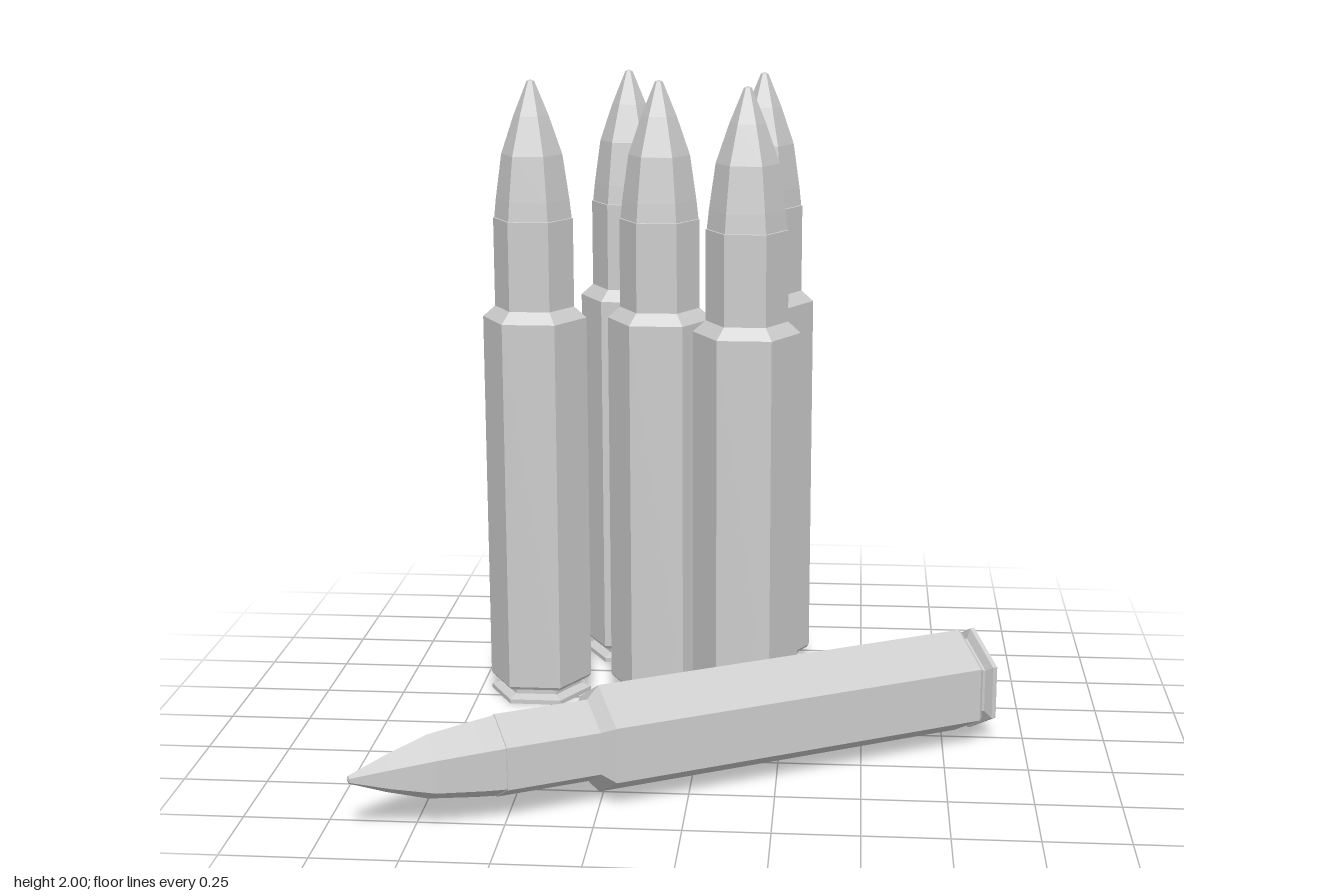
import * as THREE from 'three';

const material = new THREE.MeshStandardMaterial({ color: 0xcccccc, flatShading: true });

// Six-sided turned part from [radius, height] pairs, with corners on the x axis
function hexLathe(name, profile) {
  const points = profile.map(([r, y]) => new THREE.Vector2(r, y));
  const mesh = new THREE.Mesh(new THREE.LatheGeometry(points, 6, Math.PI / 6), material);
  mesh.name = name;
  return mesh;
}

// One cartridge: case with rim, groove, shoulder and neck, plus pointed bullet
function makeCartridge(name) {
  const cartridge = new THREE.Group();
  cartridge.name = name;
  cartridge.add(
    hexLathe('case', [
      [0, 0.005], [0.164, 0.005], [0.164, 0.019], [0.132, 0.03], [0.132, 0.047],
      [0.157, 0.052], [0.165, 0.062], [0.165, 1.255], [0.126, 1.29], [0.126, 1.57], [0.12, 1.572],
    ]),
    hexLathe('bullet', [
      [0.123, 1.565], [0.116, 1.63], [0.096, 1.77], [0.055, 1.89], [0.012, 1.995], [0, 2],
    ]),
  );
  return cartridge;
}

export function createModel() {
  const model = new THREE.Group();
  model.name = 'cartridges';

  // Standing cartridges, [x, z]
  const spots = [[-0.29, -0.727], [0.156, -0.655], [-0.552, -0.318], [-0.155, -0.326], [0.13, -0.12]];
  spots.forEach(([x, z], i) => {
    const standing = makeCartridge(`standingCartridge${i + 1}`);
    standing.position.set(x, 0, z);
    model.add(standing);
  });

  // Lying cartridge, one corner of the hexagon pointing up
  const base = new THREE.Vector3(0.85, 0.175, -0.073);
  const tip = new THREE.Vector3(-0.92, 0.175, 0.86);
  const up = new THREE.Vector3(0, 1, 0);
  const axis = tip.clone().sub(base).normalize();
  const lying = makeCartridge('lyingCartridge');
  lying.quaternion.setFromRotationMatrix(
    new THREE.Matrix4().makeBasis(up, axis, up.clone().cross(axis)));
  lying.position.copy(base);
  model.add(lying);

  return model;
}
